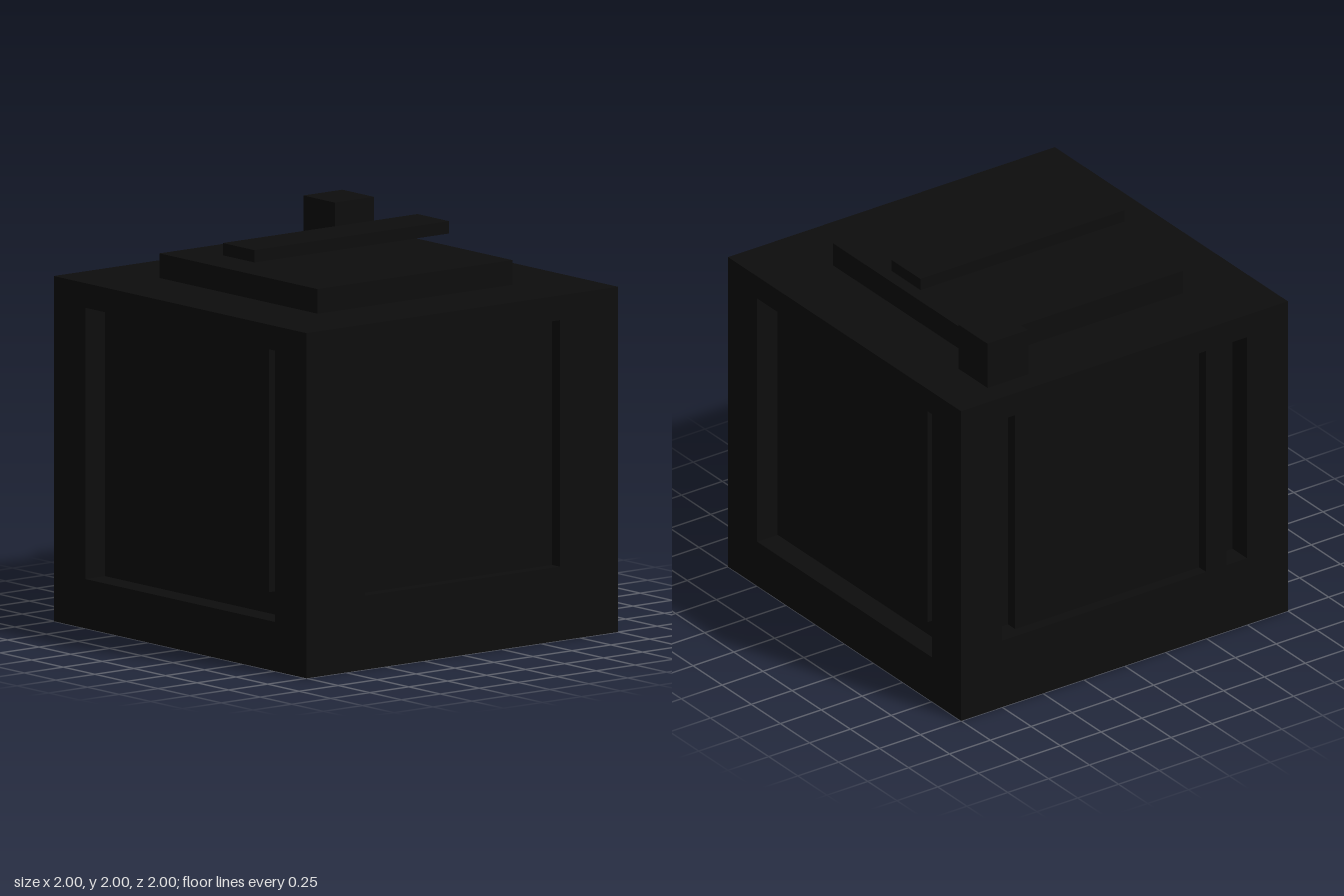
import * as THREE from 'three';

const T = 0.125; // wall thickness around the core

export function createModel() {
  const model = new THREE.Group();
  const black = new THREE.MeshStandardMaterial({ color: 0x0d0d0d });
  black.name = 'black';

  // Box given by its minimum and maximum corners
  function block(parent, name, [x0, y0, z0], [x1, y1, z1]) {
    const mesh = new THREE.Mesh(new THREE.BoxGeometry(x1 - x0, y1 - y0, z1 - z0), black);
    mesh.position.set((x0 + x1) / 2, (y0 + y1) / 2, (z0 + z1) / 2);
    mesh.name = name;
    parent.add(mesh);
  }

  function outline(path, [x0, y0, x1, y1]) {
    path.moveTo(x0, y0);
    path.lineTo(x1, y0);
    path.lineTo(x1, y1);
    path.lineTo(x0, y1);
    path.closePath();
    return path;
  }

  // One wall: a frame with openings, each optionally part-filled by a raised panel
  function wall(name, angle, halfWidth, openings, panel) {
    const side = new THREE.Group();
    side.name = name;
    side.rotation.y = angle;
    const shape = outline(new THREE.Shape(), [-halfWidth, 0, halfWidth, 1.75]);
    openings.forEach((o) => shape.holes.push(outline(new THREE.Path(), o)));
    const frame = new THREE.Mesh(
      new THREE.ExtrudeGeometry(shape, { depth: T, bevelEnabled: false }), black);
    frame.position.z = 1 - T;
    frame.name = name + 'Frame';
    side.add(frame);
    const [x0, y0, x1, y1] = panel;
    block(side, name + 'Panel', [x0, y0, 1 - T], [x1, y1, 1 - T / 2]);
    model.add(side);
  }

  // Solid core
  block(model, 'core', [-0.875, 0, -0.875], [0.875, 1.75, 0.875]);

  // Front with one shallow recess
  wall('front', 0, 1, [[-0.625, 0.375, 0.625, 1.625]], [-0.625, 0.375, 0.625, 1.625]);

  // Back with a grooved door panel and a narrow slot
  wall('back', Math.PI, 1,
    [[-0.75, 0.375, 0.5, 1.625], [0.625, 0.375, 0.75, 1.625]],
    [-0.625, 0.375, 0.5, 1.625]);

  // Sides with a deep recess around a raised panel
  for (const s of [1, -1]) {
    wall(s > 0 ? 'leftSide' : 'rightSide', s * Math.PI / 2, 0.875,
      [[-0.75, 0.25, 0.75, 1.625]], [-0.625, 0.375, 0.625, 1.625]);
  }

  // Lid, floating handle bar and corner post
  block(model, 'lid', [-0.625, 1.75, -0.625], [0.625, 1.875, 0.625]);
  block(model, 'handleBar', [-0.625, 1.9375, -0.125], [0.625, 2, 0.125]);
  block(model, 'cornerPost', [0.5, 1.75, -0.875], [0.75, 2, -0.625]);

  return model;
}
